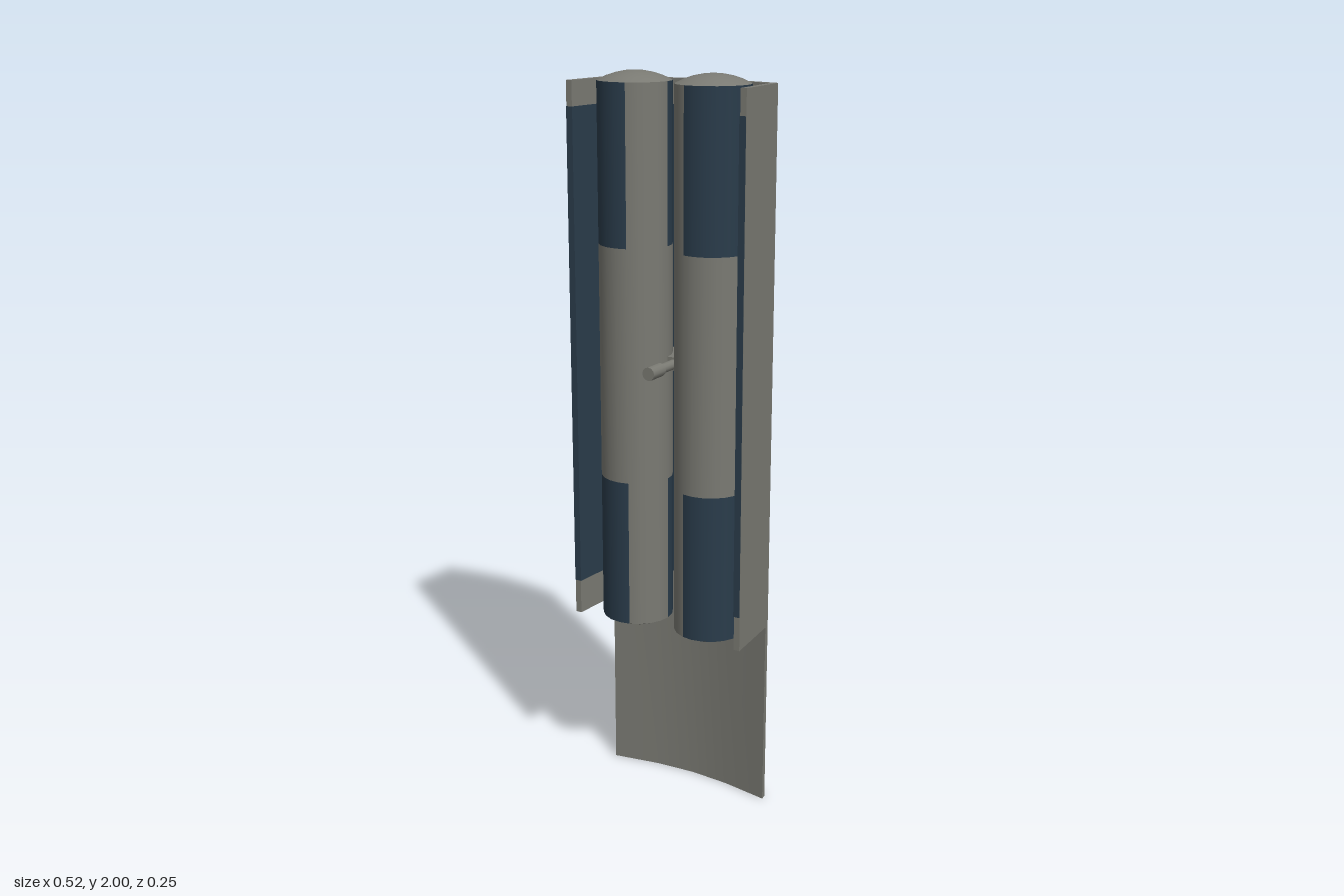
import * as THREE from 'three';
import { toCreasedNormals } from 'three/addons/utils/BufferGeometryUtils.js';

const GREY = new THREE.MeshStandardMaterial({ name: 'warm grey', color: 0x7a7a73 });
const BLUE = new THREE.MeshStandardMaterial({ name: 'dark blue', color: 0x2a3c4b, side: THREE.DoubleSide });

const LOW = 0.525, HIGH = 1.975;

// complete a half outline (x >= 0, ordered from +x end to centre) by mirroring it in x
const mirrored = half => [...half, ...half.slice().reverse().filter(p => p[0] > 0).map(([x, z]) => [-x, z])];

// vertical prism from an [x, z] outline
function prism(points, y0, y1) {
  const shape = new THREE.Shape(points.map(([x, z]) => new THREE.Vector2(x, -z)));
  const g = new THREE.ExtrudeGeometry(shape, { depth: y1 - y0, bevelEnabled: false });
  g.rotateX(-Math.PI / 2).translate(0, y0, 0);
  return toCreasedNormals(g, 0.5);
}

// open vertical ribbon along an [x, z] path
function ribbon(points, y0, y1) {
  const pos = [];
  for (let i = 0; i < points.length - 1; i++) {
    const [ax, az] = points[i], [bx, bz] = points[i + 1];
    pos.push(bx, y0, bz, ax, y0, az, ax, y1, az, bx, y0, bz, ax, y1, az, bx, y1, bz);
  }
  const g = new THREE.BufferGeometry();
  g.setAttribute('position', new THREE.Float32BufferAttribute(pos, 3));
  return toCreasedNormals(g, 0.5);
}

export function createModel() {
  const model = new THREE.Group();
  const add = (name, geometry, material, parent = model) => {
    const mesh = new THREE.Mesh(geometry, material);
    mesh.name = name;
    parent.add(mesh);
    return mesh;
  };

  // curved back plate, with side wings on the upper part
  const outer = [[0.245, -0.093], [0.125, -0.118], [0, -0.126]];
  const inner = [[0.229, -0.08], [0.115, -0.1], [0, -0.108]];
  const outline = (end, innerEnd) => [
    ...mirrored([...end, ...outer]),
    ...mirrored([...innerEnd, ...inner]).reverse(),
  ];
  add('lowerBackPlate', prism(outline([[0.2465, -0.077]], []), 0, LOW), GREY);
  add('wingedBackPlate', prism(outline([[0.26, 0.095]], [[0.243, 0.095]]), LOW, HIGH), GREY);

  // blue lining on the inside and on the front edges of the wings
  const lining = [[0.26, 0.0965], [0.2415, 0.0965], [0.2275, -0.0785], [0.115, -0.0985], [0, -0.1065]];
  add('innerLining', ribbon(mirrored(lining), 0.62, 1.91), BLUE);

  // pair of tubes: domed ends, blue end sleeves with a grey quarter left open
  const R = 0.097, DOME = 0.025, SPHERE = (R * R + DOME * DOME) / (2 * DOME);
  const deg = Math.PI / 180;
  const bands = [[LOW, 0.93, BLUE], [0.93, 1.56, GREY], [1.56, HIGH, BLUE]];
  for (const s of [-1, 1]) {
    const tube = new THREE.Group();
    tube.name = s > 0 ? 'leftTube' : 'rightTube';
    tube.position.x = 0.115 * s;
    model.add(tube);
    const wall = (name, y0, y1, start, faces, material) => add(name,
      new THREE.CylinderGeometry(R, R, y1 - y0, faces, 1, true, start * deg, faces * 18 * deg)
        .translate(0, (y0 + y1) / 2, 0), material, tube);
    for (const [y0, y1, material] of bands) {
      wall('innerQuarter', y0, y1, s > 0 ? -90 - 18 + 18 : 18, 4, GREY);
      wall('tubeWall', y0, y1, s > 0 ? -18 : 90, 16, material);
    }
    for (const end of [-1, 1]) {
      const dome = new THREE.SphereGeometry(SPHERE, 20, 4, 0, Math.PI * 2, 0, Math.asin(R / SPHERE));
      dome.translate(0, DOME - SPHERE, 0);
      if (end < 0) dome.rotateX(Math.PI);
      dome.translate(0, end > 0 ? HIGH : LOW, 0);
      add('domedEnd', dome, GREY, tube);
    }
  }

  // bracket between the tubes, carrying a stepped pin
  const bracket = [[0.02, 0], [0.035, -0.055], [0.115, -0.1], [0, -0.108]];
  add('pinBracket', prism(mirrored(bracket), 1.232, 1.268), GREY);
  for (const [name, r, z0, z1] of [['pinShaft', 0.013, -0.01, 0.067], ['pinHead', 0.018, 0.067, 0.125]]) {
    const pin = new THREE.CylinderGeometry(r, r, z1 - z0, 12).rotateX(Math.PI / 2);
    add(name, pin.translate(0, 1.25, (z0 + z1) / 2), GREY);
  }
  return model;
}
